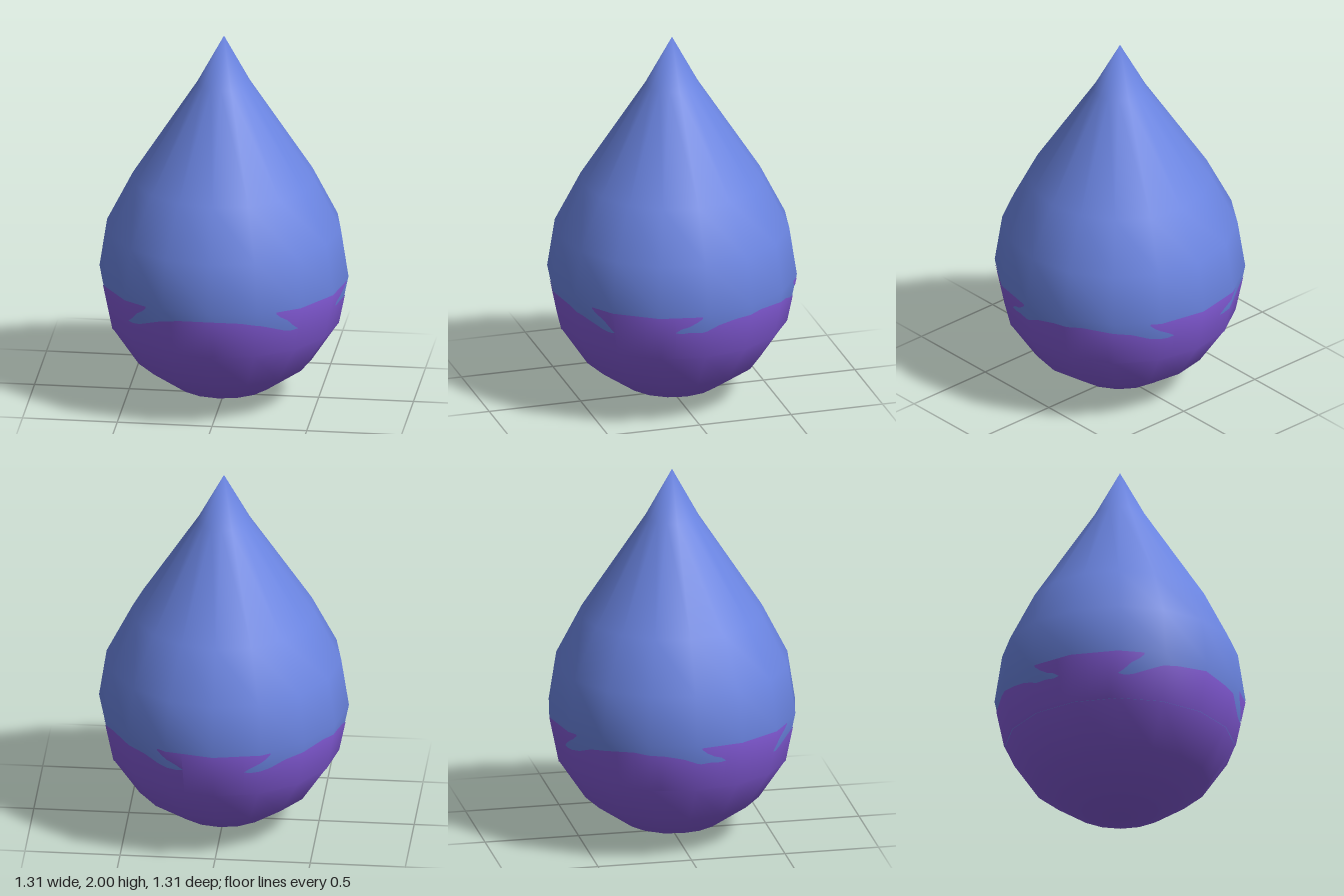
import * as THREE from 'three';
import { mergeVertices } from 'three/addons/utils/BufferGeometryUtils.js';

const SIDES = 16, STEP = 1.25;
const PROFILE = [[0, 0], [0.255, 0.065], [0.463, 0.21], [0.603, 0.42], [0.657, 0.685],
  [0.617, 0.945], [0.48, 1.215], [0.14, 1.74], [0, 2]];

// Piecewise-linear curve through [input, output] pairs
function curve(points, x) {
  for (let i = 1; i < points.length; i++) {
    const [x0, y0] = points[i - 1], [x1, y1] = points[i];
    if (x <= x1) return THREE.MathUtils.mapLinear(x, x0, x1, y0, y1);
  }
  return points[points.length - 1][1];
}

// Sixteen-sided drop: lower rows purple, the rest blue, smooth normals
function dropGeometry() {
  const lathe = new THREE.LatheGeometry(PROFILE.map(([x, y]) => new THREE.Vector2(x, y)), SIDES);
  lathe.deleteAttribute('normal');
  lathe.deleteAttribute('uv');
  const geo = mergeVertices(lathe);
  geo.computeVertexNormals();
  const rows = PROFILE.length - 1, purpleRows = 3;
  for (let i = 0; i < SIDES; i++) {
    geo.addGroup(i * rows * 6, purpleRows * 6, 1);
    geo.addGroup((i * rows + purpleRows) * 6, (rows - purpleRows) * 6, 0);
  }
  return geo;
}

// Painted strip hugging the facets between two height curves
function paintStrip(centre, dir, from, to, low, high) {
  const pos = [], nor = [], idx = [];
  const count = Math.round((to - from) / STEP);
  for (let i = 0; i <= count; i++) {
    const d = from + i * STEP, deg = centre + dir * d + 360;
    const az = THREE.MathUtils.degToRad(deg);
    const within = THREE.MathUtils.degToRad((deg % 22.5) - 11.25);
    const flat = Math.cos(Math.PI / SIDES) / Math.cos(within);
    for (const y of [low(d), high(d)]) {
      const r = THREE.MathUtils.mapLinear(y, 0.42, 0.685, 0.603, 0.657) * flat + 0.003;
      const tilt = THREE.MathUtils.mapLinear(y, 0.42, 0.685, -0.4, -0.02);
      const n = new THREE.Vector3(Math.sin(az), tilt, Math.cos(az)).normalize();
      pos.push(Math.sin(az) * r, y, Math.cos(az) * r);
      nor.push(n.x, n.y, n.z);
    }
    if (i < count) {
      const a = 2 * i, b = a + 1, c = a + 2, e = a + 3;
      if (dir > 0) idx.push(a, c, e, a, e, b);
      else idx.push(a, e, c, a, b, e);
    }
  }
  const geo = new THREE.BufferGeometry();
  geo.setAttribute('position', new THREE.Float32BufferAttribute(pos, 3));
  geo.setAttribute('normal', new THREE.Float32BufferAttribute(nor, 3));
  geo.setIndex(idx);
  return geo;
}

export function createModel() {
  const group = new THREE.Group();
  group.name = 'waterDrop';
  const blue = new THREE.MeshStandardMaterial({ color: 0x6b85e2 });
  blue.name = 'blue';
  const purple = new THREE.MeshStandardMaterial({ color: 0x845bd9 });
  purple.name = 'purple';

  const add = (name, geo, mat) => {
    const mesh = new THREE.Mesh(geo, mat);
    mesh.name = name;
    group.add(mesh);
  };
  add('dropBody', dropGeometry(), [blue, purple]);

  // Three double-ended wave crests: [centre angle, side, height of the notch]
  const halves = [[60, -1, 0.545], [60, 1, 0.572], [180, -1, 0.56],
    [180, 1, 0.56], [300, -1, 0.572], [300, 1, 0.545]];
  const base = () => 0.42, crest = () => 0.67;
  for (const [centre, dir, notch] of halves) {
    const trough = (d) => curve([[15, notch + 0.006], [18, notch], [22, notch + 0.006], [28, 0.575],
      [36, 0.607], [45, 0.625], [60, 0.638]], d);
    const undercut = (d) => curve([[15, notch + 0.007], [17.5, notch + 0.027],
      [21.25, 0.612], [25, 0.636], [27.5, 0.66]], d);
    add('waveCrest', paintStrip(centre, dir, 0, 15, base, crest), purple);
    add('waveTrough', paintStrip(centre, dir, 15, 60, base, trough), purple);
    add('waveTip', paintStrip(centre, dir, 15, 27.5, undercut, crest), purple);
  }
  return group;
}
